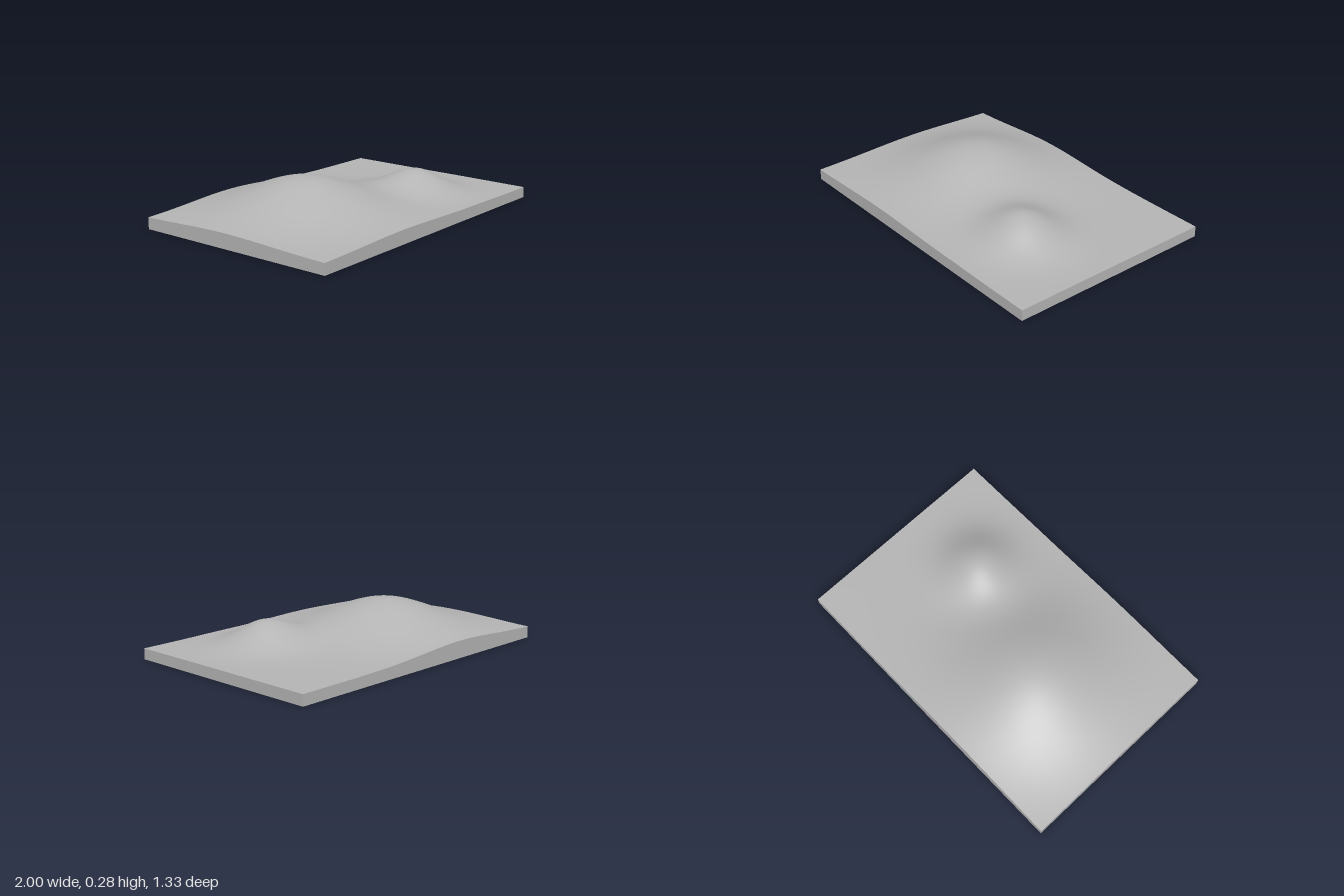
import * as THREE from 'three';

const WIDTH = 2, DEPTH = 1.333, BASE = 0.067;

// Rounded hills: centre, height above the slab, spread
const hills = [
  { x: -0.31, z: -0.06, height: 0.212, spread: 0.333 },
  { x: 0.455, z: 0.2, height: 0.146, spread: 0.167 },
];

function groundHeight(x, z) {
  return hills.reduce((y, h) => {
    const d2 = (x - h.x) ** 2 + (z - h.z) ** 2;
    return y + h.height * Math.exp(-d2 / (2 * h.spread ** 2));
  }, BASE);
}

export function createModel() {
  const group = new THREE.Group();
  group.name = 'terrainModel';

  const stone = new THREE.MeshStandardMaterial({ color: 0xb4b4b4 });
  stone.name = 'grey';

  // Slab whose upper vertices are lifted to the hills; sides follow the edge
  const geometry = new THREE.BoxGeometry(WIDTH, BASE, DEPTH, 96, 1, 64);
  const pos = geometry.attributes.position;
  for (let i = 0; i < pos.count; i++) {
    const top = pos.getY(i) > 0;
    pos.setY(i, top ? groundHeight(pos.getX(i), pos.getZ(i)) : 0);
  }
  // Each side has its own vertices, so rims stay sharp and the hills smooth
  geometry.computeVertexNormals();

  const terrain = new THREE.Mesh(geometry, stone);
  terrain.name = 'terrainSlab';
  group.add(terrain);
  return group;
}
